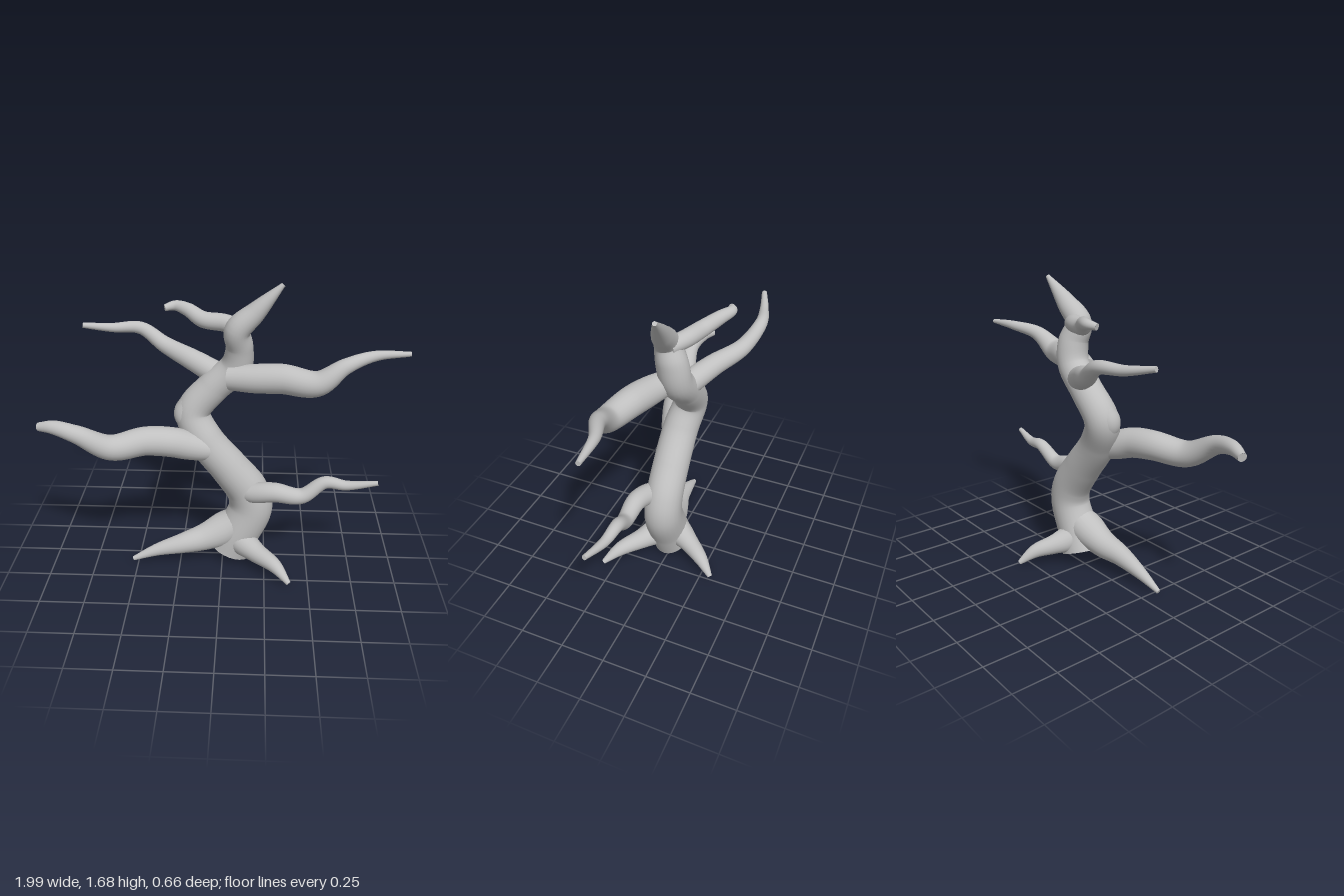
import * as THREE from 'three';
import { mergeGeometries } from 'three/addons/utils/BufferGeometryUtils.js';

// Tapered tube through points [x, y, z, radius, depth factor], closed with flat discs
function limbGeometry(points, segments = 56, sides = 24) {
  const curve = new THREE.CatmullRomCurve3(points.map(p => new THREE.Vector3(p[0], p[1], p[2])));
  const sizes = new THREE.CatmullRomCurve3(
    points.map(([, , , r, depth = 1], i) => new THREE.Vector3(i, r, r * depth)), false, 'catmullrom');
  const tube = new THREE.TubeGeometry(curve, segments, 1, sides);
  const pos = tube.attributes.position;
  const v = new THREE.Vector3();
  const scaleAt = u => {
    const s = sizes.getPoint(curve.getUtoTmapping(u));
    return new THREE.Vector3(s.y, s.y, s.z);
  };
  for (let i = 0; i <= segments; i++) {
    const centre = curve.getPointAt(i / segments);
    const scale = scaleAt(i / segments);
    for (let j = 0; j <= sides; j++) {
      const k = i * (sides + 1) + j;
      v.fromBufferAttribute(pos, k).sub(centre).multiply(scale).add(centre);
      pos.setXYZ(k, v.x, v.y, v.z);
    }
  }
  const caps = [0, 1].map(u => {
    const dir = curve.getTangentAt(u).multiplyScalar(u ? 1 : -1);
    const c = curve.getPointAt(u);
    const s = scaleAt(u);
    return new THREE.CircleGeometry(1, sides)
      .applyQuaternion(new THREE.Quaternion().setFromUnitVectors(new THREE.Vector3(0, 0, 1), dir))
      .scale(s.x, s.y, s.z)
      .translate(c.x, c.y, c.z);
  });
  return mergeGeometries([tube, ...caps]);
}

const limbs = {
  // Crooked trunk ending in a pointed tip
  trunk: [
    [0.045, 0.075, 0.015, 0.134, 0.84], [0.09, 0.18, 0.022, 0.128, 0.9], [0.165, 0.36, 0.018, 0.128, 0.84],
    [0.145, 0.47, 0.018, 0.122, 0.86], [0.04, 0.62, 0.022, 0.11, 0.95], [-0.1, 0.8, 0.018, 0.102],
    [-0.165, 0.95, -0.015, 0.096], [-0.05, 1.1, -0.03, 0.09], [0.07, 1.22, -0.025, 0.088],
    [0.09, 1.34, -0.01, 0.074, 1.23], [0.078, 1.44, 0.02, 0.07, 1.04], [0.175, 1.54, 0.008, 0.054],
    [0.312, 1.677, -0.02, 0.012],
  ],
  // Swelling on the outside of the upper bend
  trunkKnot: [
    [-0.16, 0.86, 0.01, 0.05], [-0.205, 0.94, 0.0, 0.066], [-0.19, 0.99, -0.01, 0.062],
    [-0.155, 1.04, -0.02, 0.04],
  ],
  // Branches
  lowerLeftBranch: [
    [0.1, 0.47, 0.03, 0.045], [0.18, 0.495, 0.085, 0.06], [0.3, 0.52, 0.12, 0.056], [0.45, 0.5, 0.12, 0.045],
    [0.58, 0.58, 0.1, 0.036], [0.7, 0.57, 0.11, 0.028], [0.87, 0.603, 0.135, 0.014],
  ],
  upperLeftBranch: [
    [0.04, 1.18, 0.04, 0.066], [0.17, 1.195, 0.08, 0.078], [0.32, 1.21, 0.115, 0.08],
    [0.5, 1.205, 0.16, 0.068], [0.64, 1.29, 0.13, 0.043], [0.8, 1.325, 0.06, 0.028],
    [0.99, 1.33, 0.035, 0.013],
  ],
  middleRightBranch: [
    [0.0, 0.735, 0.04, 0.045], [-0.1, 0.765, 0.066, 0.07], [-0.19, 0.795, 0.09, 0.081],
    [-0.28, 0.825, 0.115, 0.083], [-0.42, 0.84, 0.14, 0.08], [-0.6, 0.83, 0.205, 0.07],
    [-0.77, 0.92, 0.235, 0.05], [-0.9, 0.945, 0.205, 0.038], [-0.99, 0.93, 0.17, 0.024],
  ],
  upperRightBranch: [
    [0.0, 1.15, -0.04, 0.07], [-0.17, 1.21, -0.14, 0.06], [-0.34, 1.26, -0.25, 0.047],
    [-0.48, 1.34, -0.3, 0.036], [-0.64, 1.35, -0.27, 0.026], [-0.795, 1.378, -0.22, 0.015],
  ],
  topBranch: [
    [0.11, 1.44, 0.0, 0.045], [0.01, 1.455, -0.06, 0.048], [-0.11, 1.46, -0.1, 0.045],
    [-0.2, 1.495, -0.165, 0.037], [-0.27, 1.505, -0.2, 0.028], [-0.325, 1.497, -0.18, 0.018],
  ],
  // Roots
  rightRoot: [
    [0.14, 0.29, 0.02, 0.07], [0.03, 0.225, 0.035, 0.1], [-0.1, 0.165, 0.055, 0.08],
    [-0.23, 0.132, 0.08, 0.06], [-0.39, 0.085, 0.09, 0.036], [-0.53, 0.025, 0.1, 0.013],
  ],
  frontRoot: [
    [0.07, 0.2, 0.0, 0.08], [0.11, 0.16, 0.06, 0.086], [0.2, 0.125, 0.145, 0.06],
    [0.31, 0.1, 0.24, 0.041], [0.39, 0.035, 0.315, 0.014],
  ],
  backRoot: [
    [0.06, 0.19, 0.01, 0.07], [0.09, 0.155, -0.06, 0.075], [0.13, 0.125, -0.14, 0.056],
    [0.185, 0.09, -0.23, 0.04], [0.235, 0.02, -0.31, 0.014],
  ],
};

export function createModel() {
  const model = new THREE.Group();
  model.name = 'bareTree';
  const bark = new THREE.MeshStandardMaterial({ color: 0xc0c0c0 });
  bark.name = 'pale grey bark';
  for (const [name, points] of Object.entries(limbs)) {
    const mesh = new THREE.Mesh(limbGeometry(points, name === 'trunk' ? 110 : 56), bark);
    mesh.name = name;
    model.add(mesh);
  }
  return model;
}
